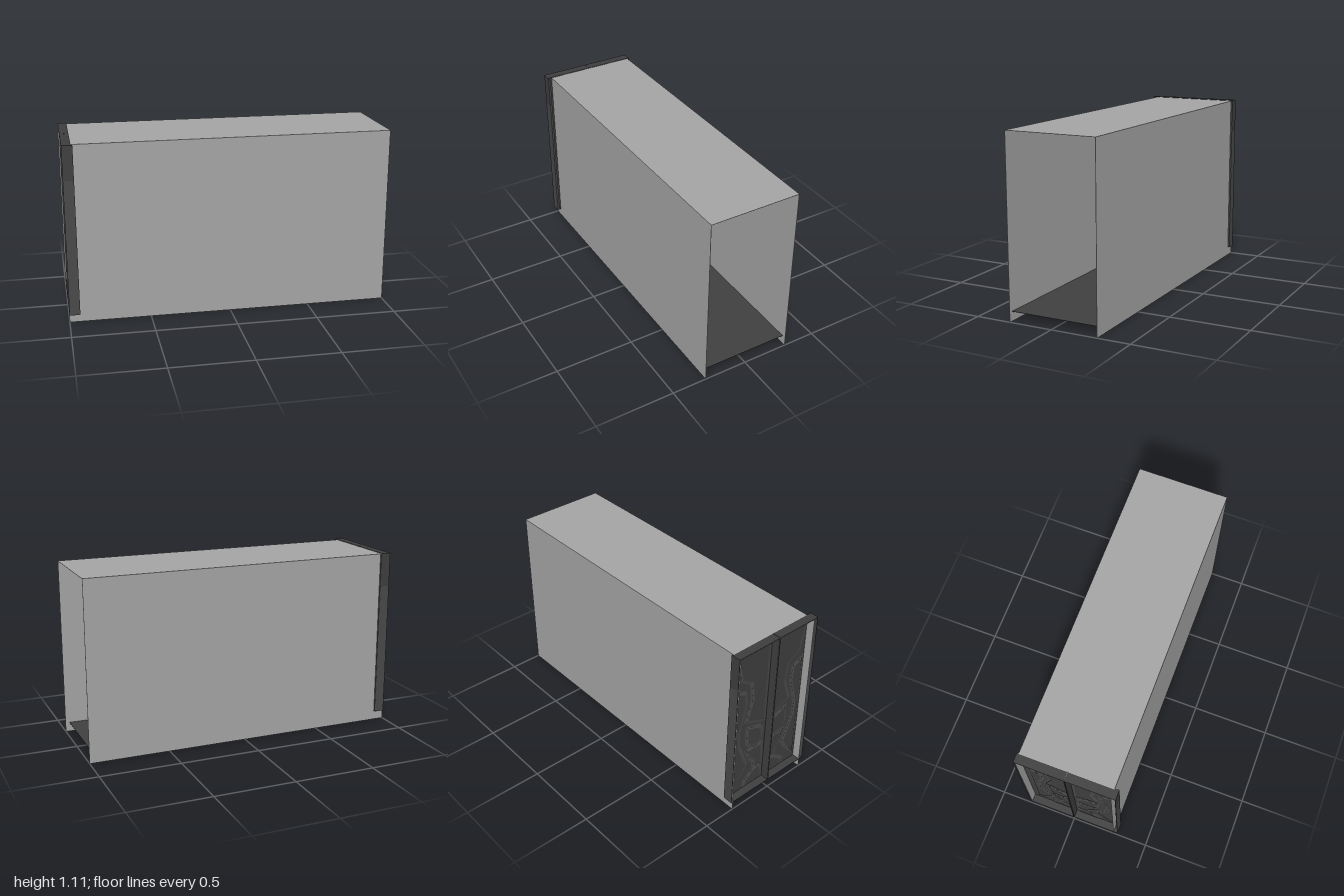
import * as THREE from 'three';

const mat = (name, color, side = THREE.DoubleSide) => {
  const m = new THREE.MeshStandardMaterial({ color, side });
  m.name = name;
  return m;
};

export function createModel() {
  const grey = mat('wallGrey', 0xa4a4a4);
  const dark = mat('floorDark', 0x404040);
  const steel = mat('doorSteel', 0x494949);
  const panel = mat('panelCharcoal', 0x3e3e3e);
  const bright = mat('handleSteel', 0x909090);

  const root = new THREE.Group();
  root.name = 'corridorWithDoors';

  // Box given by its min and max corners
  const slab = (parent, name, material, a, b) => {
    const size = a.map((v, i) => b[i] - v);
    const mesh = new THREE.Mesh(new THREE.BoxGeometry(...size), material);
    mesh.position.set(...a.map((v, i) => (v + b[i]) / 2));
    mesh.name = name;
    parent.add(mesh);
    return mesh;
  };

  // Open-ended corridor
  const T = 0.002, z0 = -0.295, z1 = 0.278, top = 1.11;
  slab(root, 'backWall', grey, [-1, 0, z0], [1, top, z0 + T]);
  slab(root, 'frontWall', grey, [-1, 0, z1 - T], [1, top, z1]);
  slab(root, 'roof', grey, [-1, top - T, z0], [1, top, z1]);
  slab(root, 'floor', dark, [-0.94, 0.057, z0 + T], [0.975, 0.059, z1 - T]);

  // Raised door panels as [z, y] outlines for one leaf
  const panels = {
    upperPanel: [[0.26, 1.08], [0.03, 1.08], [0.03, 0.53], [0.075, 0.55], [0.16, 0.585],
      [0.117, 0.72], [0.137, 0.855], [0.22, 0.91]],
    sidePanel: [[0.255, 0.82], [0.2, 0.79], [0.195, 0.7], [0.24, 0.52], [0.235, 0.42],
      [0.165, 0.245], [0.19, 0.2], [0.255, 0.11]],
    roundPanel: [[0.15, 0.51], [0.065, 0.48], [0.045, 0.45], [0.045, 0.4], [0.065, 0.37],
      [0.12, 0.375], [0.145, 0.41]],
    middlePanel: [[0.145, 0.335], [0.04, 0.335], [0.027, 0.19], [0.075, 0.19],
      [0.083, 0.24], [0.11, 0.268]],
    lowerPanel: [[0.15, 0.075], [0.15, 0.1], [0.08, 0.155], [0.04, 0.165], [0.027, 0.075]],
  };
  const X = -0.947; // middle plane of the doors

  // Bevelled plate standing out of both faces of the door
  const plate = (parent, name, pts, s, bevel, half, mats) => {
    const shape = new THREE.Shape(pts.map(([z, y]) => new THREE.Vector2(s * z, y)));
    const geo = new THREE.ExtrudeGeometry(shape, {
      depth: half, bevelEnabled: true, bevelSize: bevel, bevelThickness: half / 2, bevelSegments: 1,
    });
    geo.translate(0, 0, -half / 2).rotateY(-Math.PI / 2);
    const mesh = new THREE.Mesh(geo, mats);
    mesh.position.x = X;
    mesh.name = name;
    parent.add(mesh);
  };

  for (const s of [1, -1]) {
    const leaf = new THREE.Group();
    leaf.name = s > 0 ? 'doorLeafFront' : 'doorLeafBack';
    root.add(leaf);
    // Slab running between two z values, mirrored for the other leaf
    const part = (name, m, xa, xb, ya, yb, za, zb) =>
      slab(leaf, name, m, [xa, ya, Math.min(s * za, s * zb)], [xb, yb, Math.max(s * za, s * zb)]);

    // Hollow shell, open to the outside
    part('doorSheet', panel, X - 0.002, X + 0.002, 0.057, 1.112, 0.001, 0.304);
    part('doorSide', steel, -1, -0.937, 0.057, 0.9, 0.302, 0.305);
    part('doorSideUpper', panel, -1, -0.937, 0.9, 1.112, 0.302, 0.305);
    part('doorTop', panel, -1, -0.945, 1.1095, 1.1125, 0.001, 0.305);
    part('doorBottom', panel, -1, -0.94, 0.055, 0.058, 0.001, 0.305);
    part('meetingEdge', panel, -1, -0.942, 0.057, 1.11, 0.001, 0.004);

    // Rim around the inner face
    part('outerRim', steel, X, -0.935, 0.057, 1.105, 0.292, 0.304);
    part('bottomRim', steel, X, -0.94, 0.057, 0.066, 0.001, 0.304);
    part('topRim', steel, X, -0.94, 1.1, 1.109, 0.001, 0.304);

    // Stepped panels
    for (const [name, pts] of Object.entries(panels)) {
      plate(leaf, name + 'Band', pts, s, 0.024, 0.004, [panel, steel]);
      plate(leaf, name, pts, s, 0.011, 0.007, [panel, steel]);
    }

    // Long upright handle, bright above and dark below
    const rod = (name, m, ya, yb, r) => {
      const mesh = new THREE.Mesh(new THREE.CylinderGeometry(r, r, yb - ya, 10), m);
      mesh.position.set(-0.936, (ya + yb) / 2, s * 0.032);
      mesh.name = name;
      leaf.add(mesh);
    };
    rod('handleUpper', bright, 0.42, 0.87, 0.006);
    rod('handleLower', dark, 0.17, 0.42, 0.006);
    rod('handleCap', bright, 0.855, 0.88, 0.008);
    rod('handleFoot', dark, 0.16, 0.19, 0.008);
  }
  return root;
}
